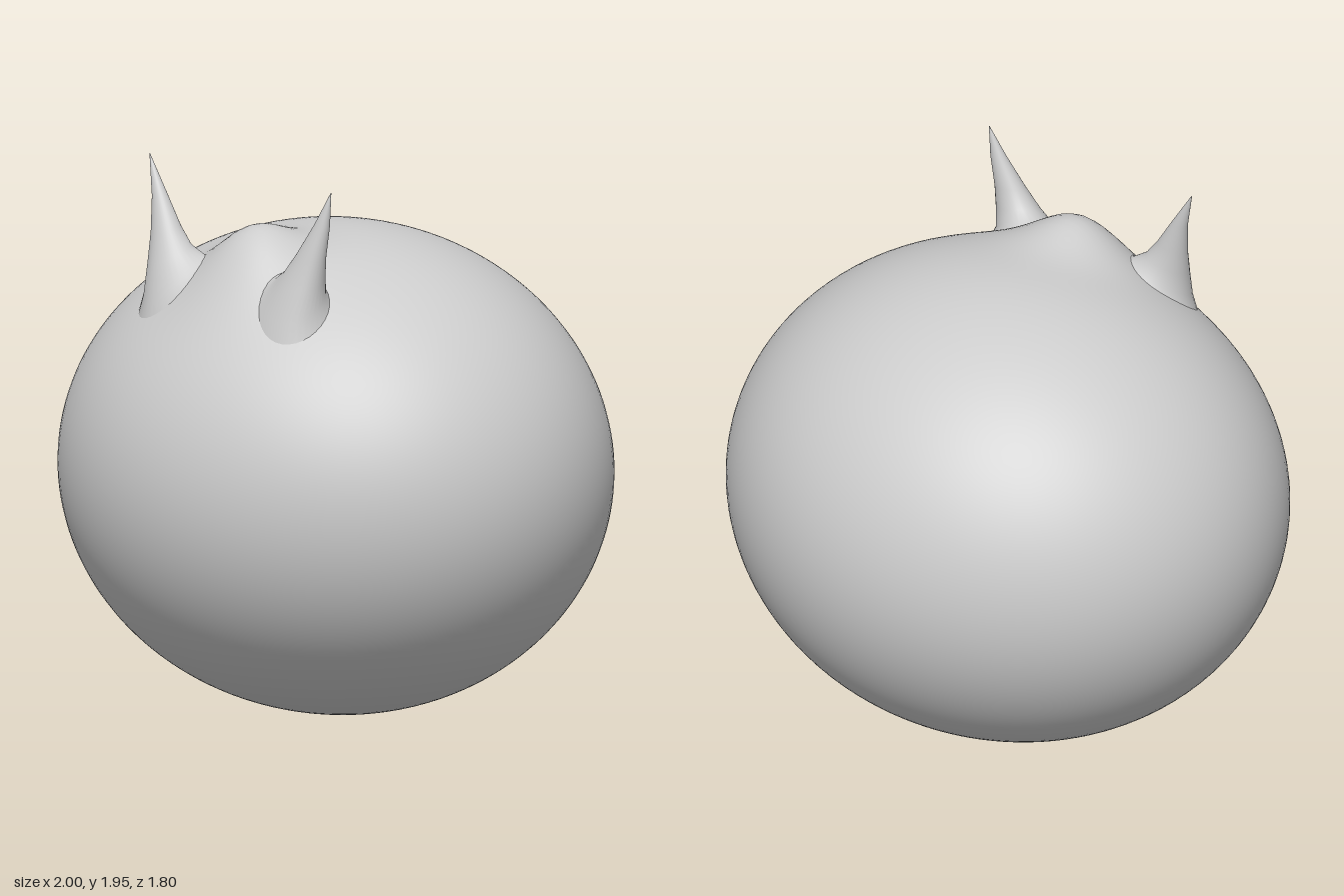
import * as THREE from 'three';
import { mergeVertices } from 'three/addons/utils/BufferGeometryUtils.js';

const RX = 1, RY = 0.85, RZ = 0.9;

// soft raised crown in front of the top
const crown = (x, z) => 0.13 * Math.exp(-(x * x) / 0.039 - ((z - 0.42) ** 2) / 0.033);

// height of the upper body surface
const surface = (x, z) =>
  RY + RY * Math.sqrt(Math.max(0, 1 - (x / RX) ** 2 - (z / RZ) ** 2)) + crown(x, z);

function bodyGeometry() {
  let g = new THREE.SphereGeometry(1, 112, 80);
  g.scale(RX, RY, RZ);
  g.translate(0, RY, 0);
  const p = g.attributes.position;
  for (let i = 0; i < p.count; i++) {
    const fade = THREE.MathUtils.smoothstep(p.getY(i), 0.9, 1.3);
    p.setY(i, p.getY(i) + fade * crown(p.getX(i), p.getZ(i)));
  }
  g.deleteAttribute('uv');
  g.deleteAttribute('normal');
  g = mergeVertices(g, 1e-5);
  g.computeVertexNormals();
  return g;
}

// flared horn lofted from a ring on the body up to a point
function hornGeometry(side, tipX, tipY) {
  // follow-through of tip, centre x, centre z, radius x, radius z, height
  const rows = [
    [0, 0.28, 0.5, 0.14, 0.13, 1.507],
    [0.25, 0.288, 0.5, 0.105, 0.105, 1.55],
    [0.5, 0.318, 0.492, 0.078, 0.072, 1.62],
    [0.7, 0.345, 0.482, 0.055, 0.048, 1.7],
    [0.85, 0.385, 0.47, 0.029, 0.025, 1.81],
    [1, tipX, 0.457, 0.001, 0.001, tipY],
  ];
  const N = 32, pos = [], idx = [];
  rows.forEach(([s, cx, cz, rx, rz, cy], j) => {
    for (let i = 0; i < N; i++) {
      const a = (i / N) * Math.PI * 2;
      const x = cx + rx * Math.cos(a), z = cz + rz * Math.sin(a);
      const y = cy + (surface(x, z) - surface(cx, cz)) * (1 - s);
      pos.push(side * x, y, z);
      if (j === rows.length - 1) continue;
      const p = j * N + i, q = j * N + (i + 1) % N;
      if (side > 0) idx.push(p, p + N, q, q, p + N, q + N);
      else idx.push(p, q, p + N, q, q + N, p + N);
    }
  });
  const g = new THREE.BufferGeometry();
  g.setAttribute('position', new THREE.Float32BufferAttribute(pos, 3));
  g.setIndex(idx);
  g.computeVertexNormals();
  return g;
}

export function createModel() {
  const group = new THREE.Group();
  const grey = new THREE.MeshStandardMaterial({ color: 0xcccccc });
  grey.name = 'light grey';

  const add = (name, geometry) => {
    const mesh = new THREE.Mesh(geometry, grey);
    mesh.name = name;
    group.add(mesh);
  };
  add('body', bodyGeometry());
  add('leftHorn', hornGeometry(1, 0.415, 1.925));
  add('rightHorn', hornGeometry(-1, 0.445, 1.945));
  return group;
}
